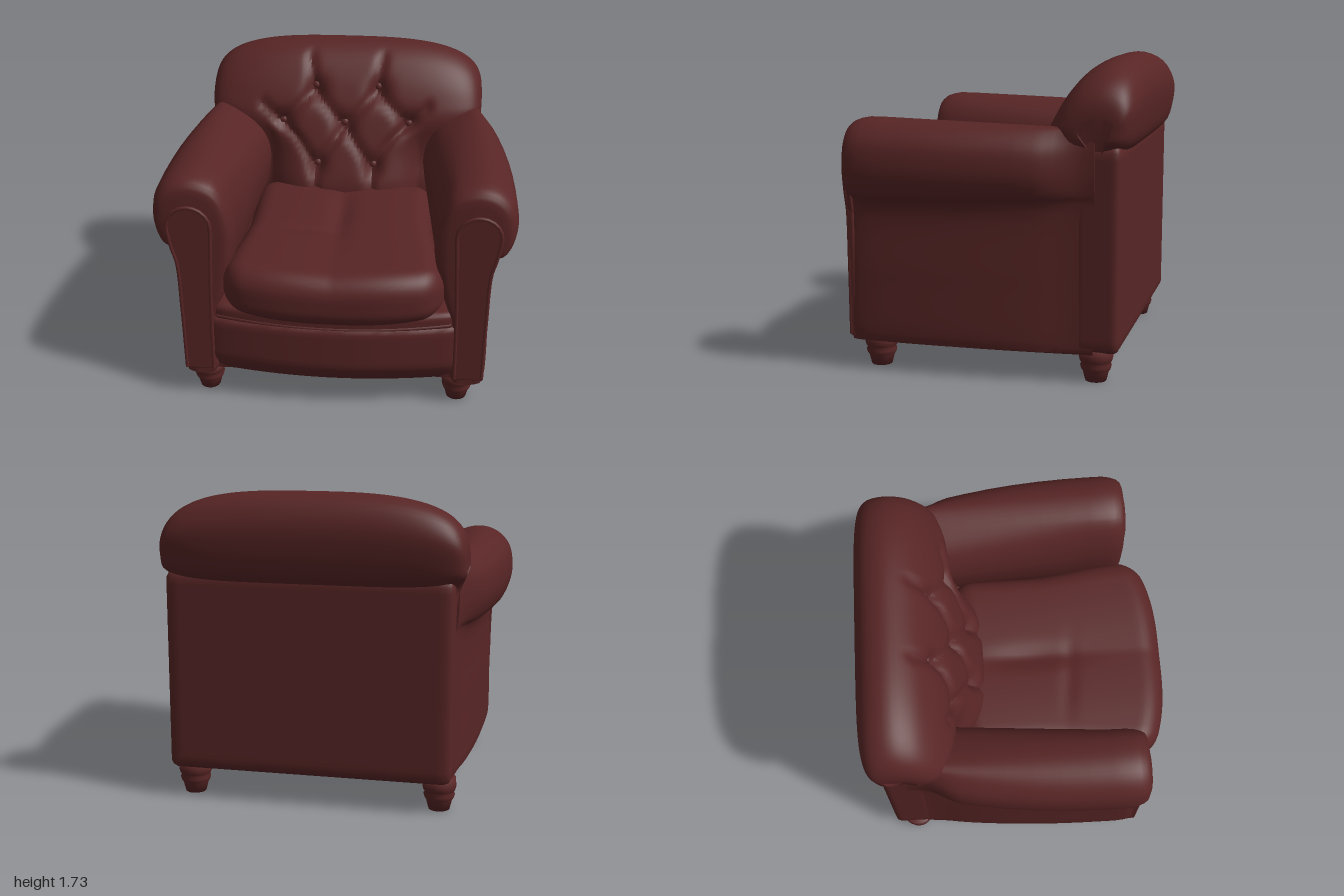
import * as THREE from 'three';
import { mergeVertices, toCreasedNormals } from 'three/addons/utils/BufferGeometryUtils.js';

const leather = new THREE.MeshStandardMaterial({ color: 0x582525 });
leather.name = 'oxblood leather';

const clamp = THREE.MathUtils.clamp;
const smooth = THREE.MathUtils.smoothstep;
const bump = (d) => Math.exp(-d * d);

// Smooth closed outline through a few [a, b] points
function outline(points, n) {
  const curve = new THREE.CatmullRomCurve3(points.map(([a, b]) => new THREE.Vector3(a, b, 0)), true);
  return curve.getSpacedPoints(n).slice(0, n);
}

// Skin over closed rings of [x, y, z], with capped ends
function loft(rings, flip = false) {
  const n = rings[0].length, last = rings.length - 1, pos = rings.flat(2), idx = [];
  const tri = (a, b, c) => (flip ? idx.push(a, c, b) : idx.push(a, b, c));
  for (let i = 0; i < last; i++) {
    for (let j = 0; j < n; j++) {
      const k = (j + 1) % n;
      const a = i * n + j, b = i * n + k, c = a + n, d = b + n;
      tri(a, b, c);
      tri(b, d, c);
    }
  }
  for (const i of [0, last]) {
    const mid = [0, 1, 2].map((q) => rings[i].reduce((s, p) => s + p[q], 0) / n);
    const m = pos.length / 3;
    pos.push(...mid);
    for (let j = 0; j < n; j++) {
      const a = i * n + j, b = i * n + ((j + 1) % n);
      if (i === 0) tri(b, a, m); else tri(a, b, m);
    }
  }
  const g = new THREE.BufferGeometry();
  g.setAttribute('position', new THREE.Float32BufferAttribute(pos, 3));
  g.setIndex(idx);
  return toCreasedNormals(g, 0.8);
}

// Rounded block from min to max corner; rule(v) reshapes each vertex
function block(min, max, r, rule, seg = [28, 12, 28]) {
  const lo = new THREE.Vector3(...min), hi = new THREE.Vector3(...max);
  const size = hi.clone().sub(lo), mid = lo.clone().add(hi).multiplyScalar(0.5);
  let g = new THREE.BoxGeometry(size.x, size.y, size.z, ...seg).translate(mid.x, mid.y, mid.z);
  g.deleteAttribute('uv');
  g.deleteAttribute('normal');
  g = mergeVertices(g);
  const p = g.attributes.position, v = new THREE.Vector3(), c = new THREE.Vector3();
  const a = lo.clone().addScalar(r), b = hi.clone().subScalar(r);
  for (let i = 0; i < p.count; i++) {
    v.fromBufferAttribute(p, i);
    c.copy(v).clamp(a, b);
    v.sub(c).setLength(r).add(c);
    if (rule) rule(v);
    p.setXYZ(i, v.x, v.y, v.z);
  }
  return toCreasedNormals(g, 0.8);
}

function segDist(x, y, [ax, ay, bx, by]) {
  const dx = bx - ax, dy = by - ay;
  const t = clamp(((x - ax) * dx + (y - ay) * dy) / (dx * dx + dy * dy), 0, 1);
  return Math.hypot(x - ax - t * dx, y - ay - t * dy);
}

// Tufting layout on the backrest
const buttons = [[-0.18, 1.49], [0.2, 1.49], [-0.38, 1.31], [0, 1.29], [0.39, 1.31], [-0.18, 1.06], [0.2, 1.06]];
const creases = [];
for (const s of [-1, 1]) {
  creases.push([s * 0.19, 1.49, 0, 1.29], [s * 0.19, 1.49, s * 0.385, 1.31], [0, 1.29, s * 0.19, 1.06],
    [s * 0.385, 1.31, s * 0.19, 1.06], [s * 0.19, 1.49, s * 0.22, 1.66], [s * 0.385, 1.31, s * 0.5, 1.4],
    [s * 0.19, 1.06, s * 0.19, 0.9]);
}
function tuft(x, y) {
  let d = 0;
  for (const c of creases) d = Math.max(d, 0.024 * bump(segDist(x, y, c) / 0.03));
  for (const [bx, by] of buttons) d += 0.045 * bump(Math.hypot(x - bx, y - by) / 0.06);
  return d;
}

// Padded back: side profile [z, y] swept across x, closing in at both ends
const backProfile = outline([[-0.76, 0.4], [-0.78, 0.8], [-0.785, 1.22], [-0.84, 1.29], [-0.875, 1.45], [-0.87, 1.58],
  [-0.81, 1.69], [-0.7, 1.73], [-0.57, 1.68], [-0.46, 1.56], [-0.365, 1.38], [-0.27, 1.15], [-0.19, 0.93],
  [-0.2, 0.7], [-0.25, 0.42], [-0.5, 0.38]], 110);
const backHalf = 0.835;
function backPoint(x, z, y) {
  const end = (p) => Math.pow(Math.max(0, 1 - Math.pow(Math.abs(x) / backHalf, p)), 1 / p);
  const cz = -0.66, cy = 1.38;
  const front = smooth(z, -0.66, -0.5);
  let nz = cz + (z - cz) * end(z > cz ? 4.5 : 6);
  const ny = cy + (y - cy) * end(y > cy ? 3 : 6);
  nz -= 0.12 * Math.min(1, (x / 0.5) ** 4) * (1 - smooth(y, 1.0, 1.4)) * front;
  const d = front * tuft(x, ny);
  const tuck = 1 - 0.1 * (1 - smooth(ny, 1.2, 1.32));
  return [x * tuck - 0.015, ny - d * 0.35, nz - d];
}

// Rolled arm cross-section [x, y], and [z, inset] stations from back to front
const armProfile = outline([[0.86, 0.17], [0.87, 0.2], [0.872, 0.55], [0.875, 0.93], [0.9, 0.965], [0.95, 0.99],
  [0.99, 1.08], [1.0, 1.18], [0.975, 1.3], [0.9, 1.38], [0.8, 1.41], [0.68, 1.385], [0.58, 1.31], [0.52, 1.19],
  [0.5, 1.05], [0.52, 0.9], [0.59, 0.7], [0.65, 0.58], [0.66, 0.4], [0.66, 0.2], [0.67, 0.17]], 100);
const armStations = [[-0.66, 0], [-0.6, 0], [-0.55, 0], [-0.5, 0], [-0.45, 0], [-0.4, 0], [-0.35, 0], [-0.25, 0],
  [-0.1, 0], [0.05, 0], [0.2, 0], [0.35, 0], [0.48, 0], [0.58, 0], [0.625, 0.035], [0.66, 0.09], [0.68, 0.16],
  [0.688, 0.24], [0.692, 0.4]];
function armRings(side) {
  return armStations.map(([z, k]) => {
    const t = clamp((0.5 - z) / 1.1, 0, 1);
    const fade = 0.8 * smooth(-z, 0.35, 0.63);
    return armProfile.map(({ x, y }) => {
      let nx = 0.77 + (x - 0.77) * (1 - k), ny = y;
      if (y > 0.95) ny = 1.17 + (y - 1.17) * (1 - k) - 0.03 * t * (y > 1.17 ? 1 : -1) * smooth(Math.abs(y - 1.17), 0, 0.2);
      // Outer side tapers to the rear, where the roll dies into the back
      nx -= 0.14 * Math.pow(t, 2.2) * smooth(nx, 0.7, 1.0);
      nx -= fade * Math.max(0, nx - 0.79);
      // Inner side closes in towards the rear
      nx += (0.05 - 0.1 * t) * Math.max(0, 0.66 - nx) / 0.16;
      return [side * nx, ny, z];
    });
  });
}

function tube(points, r) {
  const curve = new THREE.CatmullRomCurve3(points.map((p) => new THREE.Vector3(...p)));
  return new THREE.TubeGeometry(curve, 60, r, 8);
}

export function createModel() {
  const chair = new THREE.Group();
  chair.name = 'armchair';
  const add = (name, geometry) => {
    const mesh = new THREE.Mesh(geometry, leather);
    mesh.name = name;
    chair.add(mesh);
    return mesh;
  };

  // Frame
  add('seatBase', block([-0.72, 0.17, -0.7], [0.72, 0.62, 0.66], 0.02));
  add('backFrame', block([-0.79, 0.17, -0.8], [0.79, 1.29, -0.55], 0.045, null, [40, 30, 18]));

  // Bowed front rail, lip and piping
  const bow = (v) => { if (v.z > 0.6) v.z -= 0.07 * (v.x / 0.66) ** 2; };
  add('frontRail', block([-0.72, 0.17, 0.5], [0.72, 0.545, 0.77], 0.03, (v) => {
    bow(v);
    if (v.z > 0.6) v.z -= 0.05 * (1 - smooth(v.y, 0.17, 0.3));
  }));
  add('railLip', block([-0.7, 0.5, 0.45], [0.7, 0.63, 0.755], 0.04, bow));
  const railLine = [];
  for (let i = -6; i <= 6; i++) railLine.push([i * 0.11, 0.54 + 0.015 * (i / 6) ** 2, 0.748 - 0.07 * (i / 6) ** 2]);
  add('railPiping', tube(railLine, 0.012));

  // Seat cushion: wider ahead of the arms, crowned, softly wrinkled
  add('seatCushion', block([-0.62, 0.6, -0.36], [0.62, 0.92, 0.88], 0.13, (v) => {
    const u = v.x / 0.62;
    if (v.z > 0.5) v.z -= 0.11 * Math.abs(u) ** 3 * smooth(v.z, 0.5, 0.8);
    v.x *= 0.88 + 0.12 * smooth(v.z, 0.1, 0.7);
    if (v.y > 0.8) {
      v.y += 0.015 * Math.sin(Math.abs(u) * 3) - 0.025 * bump(v.x / 0.06) * bump((v.z - 0.1) / 0.25);
      v.y -= 0.012 * bump((v.z - 0.33 - 0.1 * v.x) / 0.04) * bump((v.x + 0.15) / 0.2);
    } else {
      v.y += 0.03 * u * u * (1 - smooth(v.y, 0.6, 0.8));
    }
  }, [48, 18, 48]));

  // Tufted back
  const rings = [];
  for (let i = 0; i <= 120; i++) {
    const x = (backHalf - 0.001) * Math.sin((i / 120 - 0.5) * Math.PI);
    rings.push(backProfile.map((p) => backPoint(x, p.x, p.y)));
  }
  add('tuftedBack', loft(rings));

  // Buttons sit at the nearest front surface point
  for (const [bx, by] of buttons) {
    const hits = backProfile.filter((p) => p.x > -0.6 && p.y > 0.8).map((p) => backPoint(bx, p.x, p.y));
    const at = hits.reduce((a, b) => (Math.abs(b[1] - by) < Math.abs(a[1] - by) ? b : a));
    const button = add('button', new THREE.SphereGeometry(0.022, 14, 10));
    button.scale.z = 0.6;
    button.rotation.x = -0.4;
    button.position.set(at[0], at[1], at[2] + 0.004);
  }

  for (const side of [1, -1]) {
    const name = side > 0 ? 'left' : 'right';
    add(name + 'Arm', loft(armRings(side), side < 0));

    // Arm front facing with piped edge
    const path = [[0.695, 0.2], [0.69, 0.6], [0.675, 1.0]];
    for (let i = 0; i <= 12; i++) {
      const a = Math.PI * (1 - i / 12);
      path.push([0.79 + 0.12 * Math.cos(a), 1.13 + 0.12 * Math.sin(a)]);
    }
    path.push([0.89, 1.0], [0.865, 0.9], [0.855, 0.6], [0.85, 0.2]);
    const shape = new THREE.Shape(path.map(([x, y]) => new THREE.Vector2(side * x, y)));
    const facing = new THREE.ExtrudeGeometry(shape, { depth: 0.02, bevelSize: 0.008, bevelThickness: 0.008, bevelSegments: 2 });
    add(name + 'ArmFacing', facing.translate(0, 0, 0.67));
    add(name + 'ArmPiping', tube(path.map(([x, y]) => [side * x, y, 0.694]), 0.011));

    // Turned feet
    for (const [x, z] of [[0.73, 0.57], [0.7, -0.66]]) {
      const profile = [[0, 0], [0.058, 0], [0.072, 0.055], [0.08, 0.065], [0.086, 0.085], [0.079, 0.1], [0.088, 0.112],
        [0.094, 0.135], [0.09, 0.18], [0, 0.18]].map(([r, y]) => new THREE.Vector2(r, y));
      const foot = add(name + (z > 0 ? 'FrontFoot' : 'BackFoot'), new THREE.LatheGeometry(profile, 24));
      foot.position.set(side * x - 0.015, 0, z);
    }
  }
  return chair;
}
